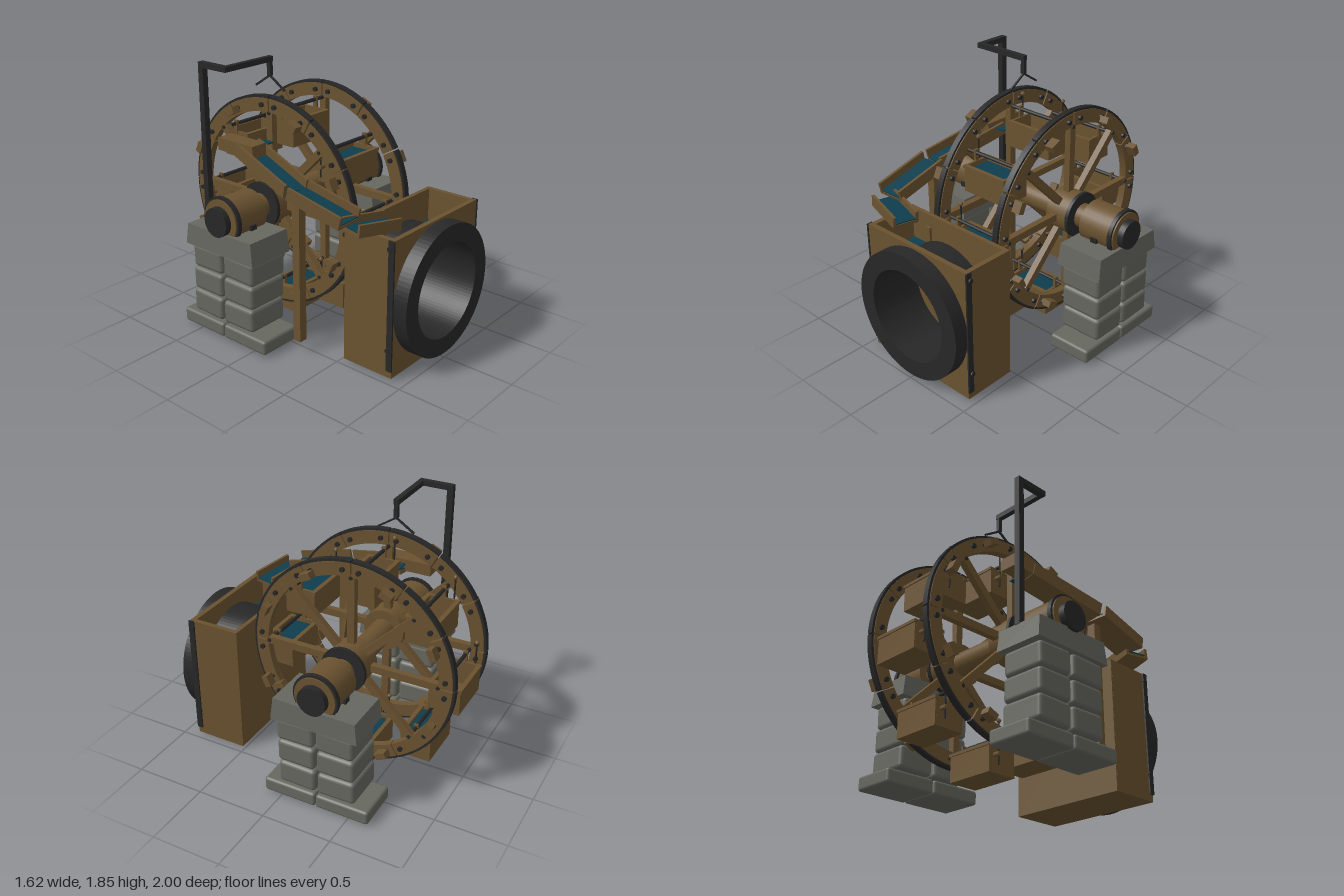
import * as THREE from 'three';
import { RoundedBoxGeometry } from 'three/addons/geometries/RoundedBoxGeometry.js';

const mat = (name, color) => {
  const m = new THREE.MeshStandardMaterial({ color, side: THREE.DoubleSide });
  m.name = name;
  return m;
};

export function createModel() {
  const wood = mat('wood', 0x6a5230), iron = mat('iron', 0x272727);
  const stone = mat('stone', 0x66675f), water = mat('water', 0x0e3d4d);
  const model = new THREE.Group();
  model.name = 'waterWheel';
  const CY = 0.87, CZ = -0.265;

  const add = (parent, name, geo, m, x = 0, y = 0, z = 0) => {
    const mesh = new THREE.Mesh(geo, m);
    mesh.name = name;
    mesh.position.set(x, y, z);
    parent.add(mesh);
    return mesh;
  };
  const group = (name, x = 0, y = 0, z = 0, parent = model) => {
    const g = new THREE.Group();
    g.name = name;
    g.position.set(x, y, z);
    parent.add(g);
    return g;
  };
  const box = (parent, name, m, w, h, d, x, y, z) =>
    add(parent, name, new THREE.BoxGeometry(w, h, d), m, x, y, z);
  // cylinder lying along x between x0 and x1
  const barX = (parent, name, m, r, x0, x1, y, z, seg = 28) => {
    const geo = new THREE.CylinderGeometry(r, r, Math.abs(x1 - x0), seg).rotateZ(Math.PI / 2);
    return add(parent, name, geo, m, (x0 + x1) / 2, y, z);
  };
  // square beam from a to b
  const beam = (parent, name, m, a, b, w, d = w) => {
    const p = new THREE.Vector3(...a), q = new THREE.Vector3(...b);
    const mesh = box(parent, name, m, w, d, p.distanceTo(q), 0, 0, 0);
    mesh.position.copy(p).lerp(q, 0.5);
    mesh.lookAt(q);
    return mesh;
  };
  const extrude = (shape, depth, curveSegments = 12) =>
    new THREE.ExtrudeGeometry(shape, { depth, bevelEnabled: false, curveSegments });
  const arcGeo = (r0, r1, a0, a1, depth) => {
    const s = new THREE.Shape();
    s.absarc(0, 0, r1, a0, a1, false);
    s.absarc(0, 0, r0, a1, a0, true);
    return extrude(s, depth, 8).translate(0, 0, -depth / 2);
  };
  const ringGeo = (r0, r1, depth) => {
    const s = new THREE.Shape().absarc(0, 0, r1, 0, Math.PI * 2, false);
    s.holes.push(new THREE.Path().absarc(0, 0, r0, 0, Math.PI * 2, true));
    return extrude(s, depth, 48);
  };

  // --- wheels: local +z points outward
  for (const side of [-1, 1]) {
    const wheel = group(side > 0 ? 'leftWheel' : 'rightWheel', side * 0.27, CY, CZ);
    wheel.rotation.y = side * Math.PI / 2;
    const gap = 0.014;
    for (let i = 0; i < 12; i++) {
      const a0 = i * Math.PI / 6 + gap / 2, a1 = (i + 1) * Math.PI / 6 - gap / 2;
      add(wheel, 'rimSegment', arcGeo(0.625, 0.718, a0, a1, 0.054), wood);
      add(wheel, 'ironTyre', arcGeo(0.716, 0.735, a0, a1, 0.042), iron);
      for (const d of [-0.085, 0.085]) {
        const a = i * Math.PI / 6 + d;
        const geo = new THREE.CylinderGeometry(0.017, 0.017, 0.09, 8).rotateX(Math.PI / 2);
        add(wheel, 'rimBolt', geo, iron, 0.672 * Math.cos(a), 0.672 * Math.sin(a), 0);
      }
    }
    for (let i = 0; i < 8; i++) {
      const a = i * Math.PI / 4;
      const spoke = box(wheel, 'spoke', wood, 0.52, 0.052, 0.045, 0.38 * Math.cos(a), 0.38 * Math.sin(a), 0);
      spoke.rotation.z = a;
    }
    // projecting pegs beside the rim joints
    for (const deg of [25, 65, 115, 155, 205, 245, 295, 335]) {
      const a = deg * Math.PI / 180, x = 0.66 * Math.cos(a), y = 0.66 * Math.sin(a);
      box(wheel, 'peg', wood, 0.045, 0.08, 0.065, x, y, 0.088).rotation.z = a;
      add(wheel, 'pegBolt', new THREE.CylinderGeometry(0.012, 0.012, 0.1, 8).rotateX(Math.PI / 2), iron, x, y, 0.045);
    }

    // --- hub, bearing drum and end cap
    barX(model, 'hub', wood, 0.15, side * 0.2, side * 0.37, CY, CZ);
    barX(model, 'hubCollar', iron, 0.16, side * 0.37, side * 0.395, CY, CZ);
    barX(model, 'bearingDrum', wood, 0.145, side * 0.485, side * 0.765, CY, CZ);
    barX(model, 'drumStrap', iron, 0.16, side * 0.725, side * 0.755, CY, CZ);
    barX(model, 'endCap', iron, 0.1, side * 0.765, side * 0.81, CY, CZ);
    box(model, 'bearingPlate', iron, 0.05, 0.035, 0.3, side * 0.61, 0.815, CZ);

    // --- stacked stone pier
    const pier = group(side > 0 ? 'leftPier' : 'rightPier', side * 0.62, 0, CZ);
    const block = (w, h, d, y, z, r = 0.028) =>
      add(pier, 'stoneBlock', new RoundedBoxGeometry(w, h, d, 2, r), stone, 0, y, z);
    for (const s of [-1, 1]) {
      block(0.32, 0.1, 0.384, 0.07, s * 0.194, 0.02);
      [0.22, 0.39, 0.56].forEach((y, i) => {
        block(0.31, 0.163, 0.272, y, s * 0.143 + (i - 1) * 0.006).rotation.x = (i - 1) * s * 0.02;
      });
    }
    const cap = new THREE.BoxGeometry(0.35, 0.15, 0.62);
    const p = cap.attributes.position;
    for (let i = 0; i < p.count; i++) {
      if (p.getY(i) > 0) p.setXYZ(i, p.getX(i) * 0.96, p.getY(i) + p.getZ(i) * 0.02, p.getZ(i) * 0.94);
    }
    cap.computeVertexNormals();
    add(pier, 'capStone', cap, stone, 0, 0.715, 0);
  }
  barX(model, 'axle', wood, 0.085, -0.78, 0.78, CY, CZ);

  // --- eight hanging buckets
  for (let i = 0; i < 8; i++) {
    const a = i * Math.PI / 4;
    const y = CY + 0.62 * Math.sin(a), z = CZ + 0.62 * Math.cos(a);
    barX(model, 'bucketRod', iron, 0.013, -0.3, 0.3, y, z, 10);
    const b = group('bucket', 0, y - 0.15, z);
    box(b, 'bucketFloor', wood, 0.35, 0.018, 0.2, 0, -0.086, 0);
    for (const s of [-1, 1]) {
      box(b, 'bucketSide', wood, 0.355, 0.19, 0.018, 0, 0, s * 0.1);
      box(b, 'bucketLip', wood, 0.365, 0.02, 0.03, 0, 0.085, s * 0.102);
      box(b, 'bucketEnd', wood, 0.018, 0.19, 0.2, s * 0.169, 0, 0);
      box(b, 'bucketHanger', wood, 0.018, 0.1, 0.03, s * 0.174, 0.125, 0);
    }
    if (i < 2 || i > 4) box(b, 'bucketWater', water, 0.325, 0.008, 0.185, 0, 0.06, 0);
    // tipping lever with a knob
    add(b, 'lever', new THREE.CylinderGeometry(0.006, 0.006, 0.28, 6), iron, -0.21, 0.09, -0.06);
    add(b, 'leverKnob', new THREE.SphereGeometry(0.016, 8, 6), wood, -0.21, 0.235, -0.06);
    barX(b, 'leverPin', wood, 0.016, -0.225, -0.17, 0.02, -0.06, 8);
  }

  // --- tank with round port
  const tank = group('tank');
  const front = new THREE.Shape([[-0.45, 0.015], [0.45, 0.015], [0.45, 0.955], [-0.45, 0.955]]
    .map(q => new THREE.Vector2(...q)));
  front.holes.push(new THREE.Path().absarc(0, 0.49, 0.36, 0, Math.PI * 2, true));
  add(tank, 'tankFront', extrude(front, 0.035, 48), wood, 0, 0, 0.865);
  box(tank, 'tankBack', wood, 0.9, 0.94, 0.03, 0, 0.485, 0.532);
  box(tank, 'tankFloor', wood, 0.9, 0.03, 0.35, 0, 0.03, 0.7);
  box(tank, 'tankWater', water, 0.84, 0.008, 0.32, 0, 0.725, 0.706);
  box(tank, 'innerPlank', wood, 0.04, 0.6, 0.02, -0.25, 0.57, 0.56);
  for (const s of [-1, 1]) {
    box(tank, 'tankSide', wood, 0.035, 0.94, 0.35, s * 0.433, 0.485, 0.7);
    box(tank, 'edgeStrip', iron, 0.012, 0.89, 0.042, s * 0.455, 0.51, 0.884);
    for (const y of [0.21, 0.9]) {
      barX(tank, 'edgeBolt', iron, 0.018, s * 0.44, s * 0.47, y, 0.875, 8);
    }
  }
  add(tank, 'portPipe', ringGeo(0.325, 0.37, 0.29), iron, 0, 0.49, 0.62);
  add(tank, 'portRing', ringGeo(0.325, 0.45, 0.1), iron, 0, 0.49, 0.9);

  // --- water chute made of open troughs
  const trough = (a, b, w, h) => {
    const p = new THREE.Vector3(...a), q = new THREE.Vector3(...b), len = p.distanceTo(q);
    const g = group('chute');
    g.position.copy(p).lerp(q, 0.5);
    g.lookAt(q);
    box(g, 'chuteFloor', wood, w, 0.02, len, 0, -0.03, 0);
    for (const s of [-1, 1]) box(g, 'chuteWall', wood, 0.02, h, len, s * (w / 2 - 0.01), h / 2 - 0.04, 0);
    box(g, 'chuteWater', water, w - 0.04, 0.008, len, 0, -0.012, 0);
  };
  trough([-0.45, 1.28, -0.32], [-0.555, 1.145, 0.21], 0.19, 0.09);
  trough([-0.555, 1.145, 0.22], [-0.54, 1.05, 0.63], 0.21, 0.085);
  trough([-0.57, 1.02, 0.66], [-0.26, 0.99, 0.74], 0.18, 0.08);
  box(model, 'chuteHead', wood, 0.125, 0.085, 0.32, -0.473, 1.29, -0.345);
  box(model, 'chuteInlet', water, 0.14, 0.008, 0.1, -0.37, 1.3, -0.27);
  box(model, 'chuteLeg', wood, 0.06, 0.98, 0.058, -0.55, 0.58, 0.225);
  beam(model, 'chuteBrace', wood, [-0.53, 0.45, 0.22], [-0.48, 1.03, 0.13], 0.045);

  // --- iron gallows arm over the wheel
  const arm = group('gallows');
  box(arm, 'post', iron, 0.042, 1.07, 0.042, -0.607, 1.315, -0.54);
  box(arm, 'postReturn', iron, 0.042, 0.036, 0.25, -0.607, 1.832, -0.436);
  box(arm, 'crossArm', iron, 0.43, 0.036, 0.036, -0.41, 1.832, -0.33);
  box(arm, 'dropBar', iron, 0.028, 0.13, 0.028, -0.208, 1.785, -0.33);
  for (const s of [-1, 1]) {
    beam(arm, 'tripHook', iron, [-0.208, 1.72, -0.33], [-0.208, 1.635, -0.33 + s * 0.13], 0.012);
  }
  return model;
}
